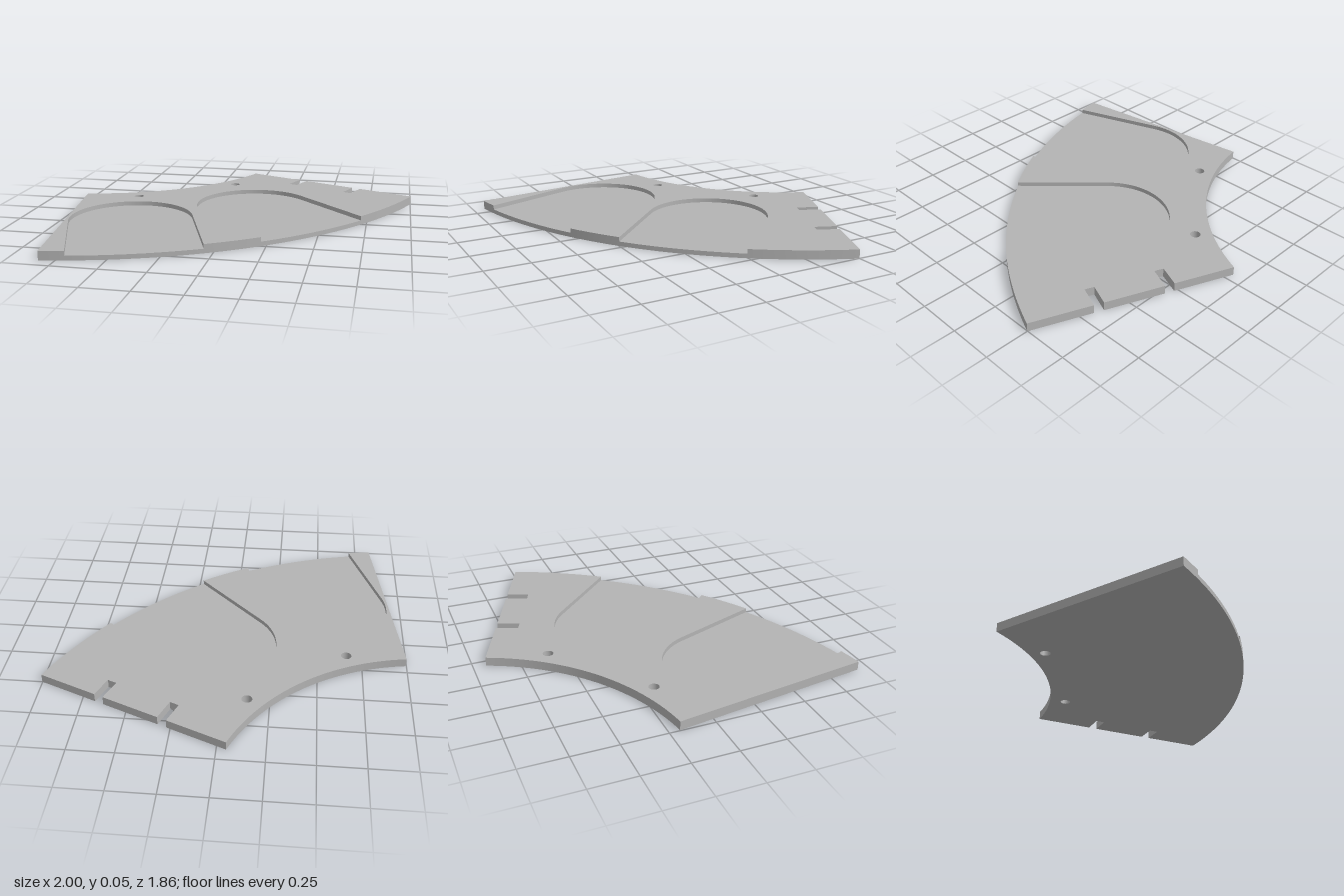
import * as THREE from 'three';

const RAD = Math.PI / 180;
const CENTRE = [-1.167, -1.387];           // common centre of both arcs (x, z)
const INNER = 1.207, OUTER = 2.343;
const START = 22.25 * RAD, END = 81.85 * RAD;
const THICK = 0.05, FLOOR = 0.025;
const POCKET_R = 0.35, POCKET_DIST = 1.77;
const POCKETS = [45 * RAD, 70 * RAD];
const NOTCHES = [1.553, 1.942], NOTCH_W = 0.053, NOTCH_D = 0.13;
const HOLES = [[-0.13, -0.6], [-0.66, -0.19]], HOLE_R = 0.029;

// Point at a distance along a ray from the centre, shifted sideways from it
function polar(r, a, side = 0) {
  return [
    CENTRE[0] + r * Math.cos(a) - side * Math.sin(a),
    CENTRE[1] + r * Math.sin(a) + side * Math.cos(a),
  ];
}

// Sector outline with edge notches and bolt holes, optionally cut by the pockets
function sectorShape(withPockets) {
  const s = new THREE.Shape();
  s.moveTo(...polar(INNER, START));
  for (const r of NOTCHES) {
    s.lineTo(...polar(r, START));
    s.lineTo(...polar(r, START, NOTCH_D));
    s.lineTo(...polar(r + NOTCH_W, START, NOTCH_D));
    s.lineTo(...polar(r + NOTCH_W, START));
  }
  let from = START;
  if (withPockets) {
    const half = Math.asin(POCKET_R / OUTER);
    for (const a of POCKETS) {
      s.absarc(...CENTRE, OUTER, from, a - half, false);
      s.absarc(...polar(POCKET_DIST, a), POCKET_R, a - Math.PI / 2, a - 1.5 * Math.PI, true);
      from = a + half;
    }
  }
  s.absarc(...CENTRE, OUTER, from, END, false);
  s.absarc(...CENTRE, INNER, END, START, true);
  for (const [x, z] of HOLES) {
    const hole = new THREE.Path();
    hole.absarc(x, z, HOLE_R, 0, Math.PI * 2, true);
    s.holes.push(hole);
  }
  return s;
}

// Flat horizontal layer between two heights
function layer(name, shape, bottom, top, material) {
  const geo = new THREE.ExtrudeGeometry(shape, {
    depth: top - bottom, bevelEnabled: false, curveSegments: 64,
  });
  geo.rotateX(Math.PI / 2);
  geo.translate(0, top, 0);
  const mesh = new THREE.Mesh(geo, material);
  mesh.name = name;
  return mesh;
}

export function createModel() {
  const grey = new THREE.MeshStandardMaterial({ color: 0xb4b4b4 });
  grey.name = 'plain grey';
  const group = new THREE.Group();
  group.name = 'curvedTray';
  group.add(layer('basePlate', sectorShape(false), 0, FLOOR, grey));
  group.add(layer('pocketSurround', sectorShape(true), FLOOR, THICK, grey));
  return group;
}
